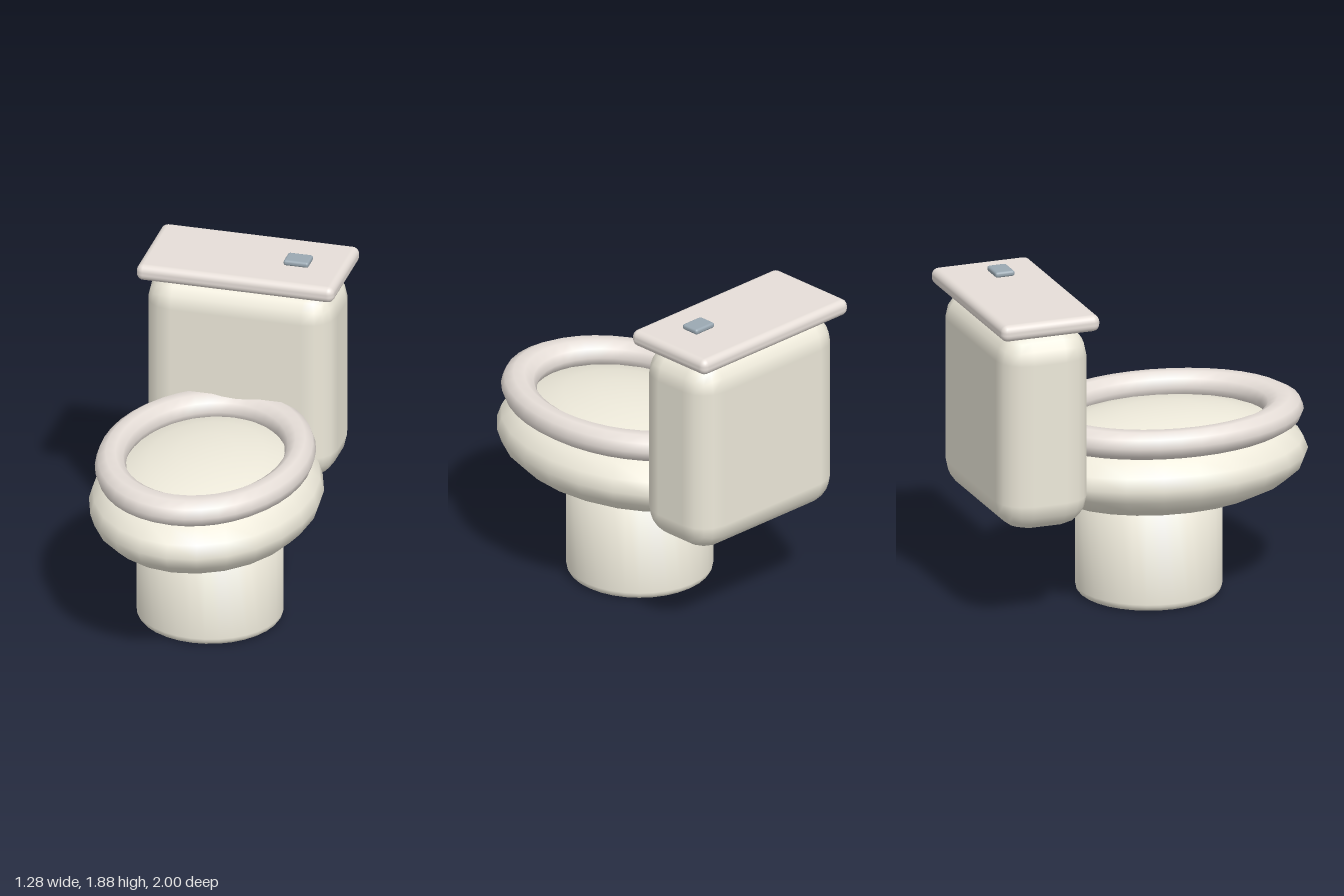
import * as THREE from 'three';
import { RoundedBoxGeometry } from 'three/addons/geometries/RoundedBoxGeometry.js';

const paint = (color) => new THREE.MeshStandardMaterial({ color });

export function createModel() {
  const group = new THREE.Group();
  const ceramic = paint(0xede9da);
  const plastic = paint(0xe6ded8);
  const metal = paint(0x9aa8b2);

  const add = (name, geometry, material, x, y, z) => {
    const mesh = new THREE.Mesh(geometry, material);
    mesh.name = name;
    mesh.position.set(x, y, z);
    group.add(mesh);
  };

  // Round foot with a softened bottom edge
  const radius = 0.41, round = 0.045, height = 0.66;
  const profile = [new THREE.Vector2(0, 0)];
  for (let i = 0; i <= 4; i++) {
    const a = (i / 4) * Math.PI / 2;
    profile.push(new THREE.Vector2(radius - round + round * Math.sin(a), round - round * Math.cos(a)));
  }
  profile.push(new THREE.Vector2(radius, height), new THREE.Vector2(0, height));
  add('pedestal', new THREE.LatheGeometry(profile, 32), ceramic, 0, 0, 0.085);

  // Flattened ellipsoid bowl, its top closing the seat opening
  const bowl = new THREE.SphereGeometry(1, 24, 12).scale(0.64, 0.28, 0.84);
  add('bowl', bowl, ceramic, 0, 0.78, 0.16);

  // Oval seat ring
  const seat = new THREE.TorusGeometry(0.515, 0.085, 10, 40)
    .rotateX(Math.PI / 2)
    .scale(1, 0.98, 1.325);
  add('seat', seat, plastic, 0, 1.018, 0.182);

  // Cistern, lid and flush button
  add('tank', new RoundedBoxGeometry(1.09, 1.165, 0.53, 2, 0.17), ceramic, 0, 1.173, -0.705);
  add('tankLid', new RoundedBoxGeometry(1.14, 0.095, 0.585, 3, 0.04), plastic, 0, 1.797, -0.707);
  add('flushButton', new RoundedBoxGeometry(0.145, 0.033, 0.115, 2, 0.014), metal, 0.298, 1.868, -0.68);

  return group;
}
